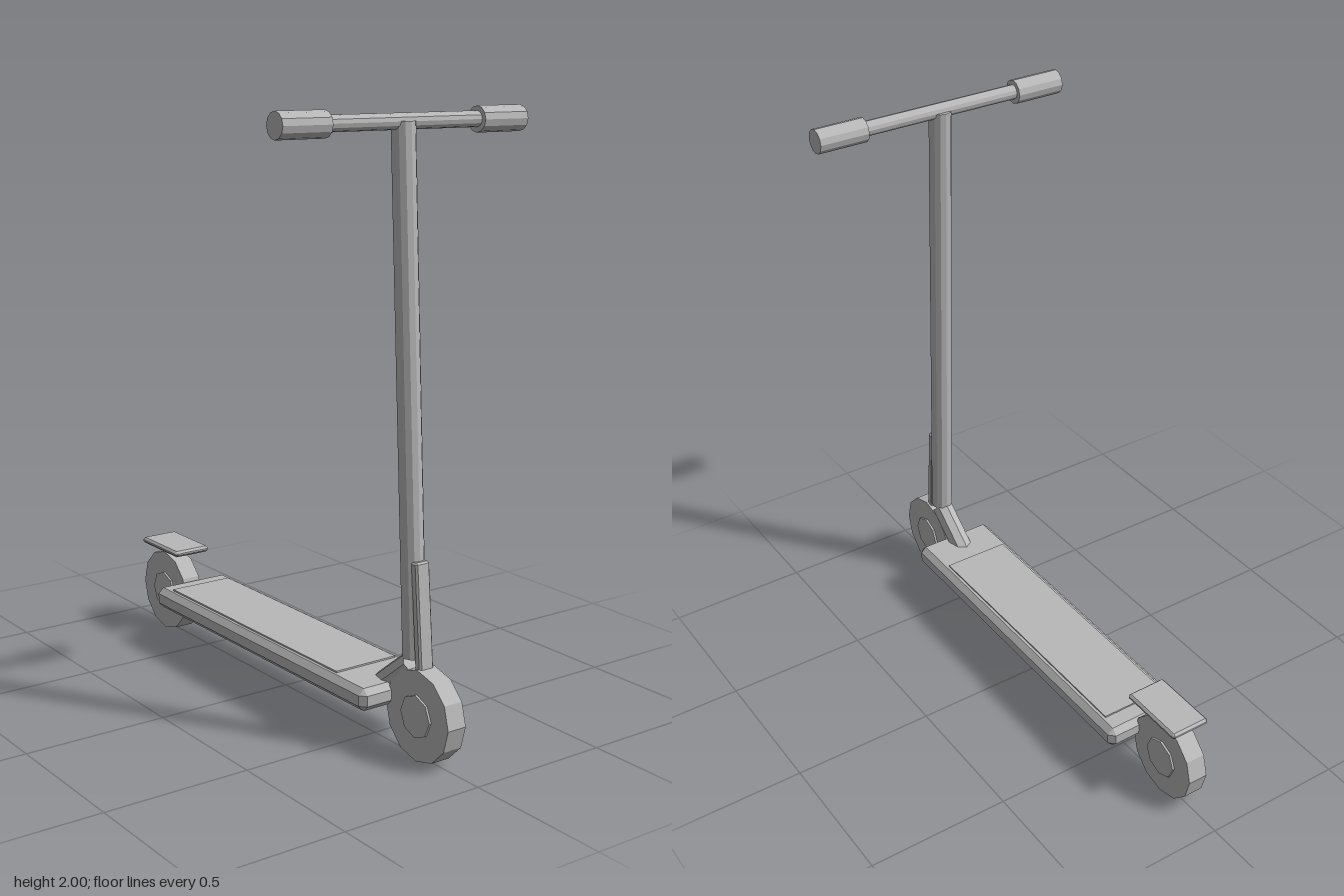
import * as THREE from 'three';
import { ConvexGeometry } from 'three/addons/geometries/ConvexGeometry.js';

const grey = new THREE.MeshStandardMaterial({ color: 0xb8b8b8, flatShading: true });
grey.name = 'grey';

export function createModel() {
  const model = new THREE.Group();
  model.name = 'kickScooter';

  function add(name, geometry, x = 0, y = 0, z = 0) {
    const mesh = new THREE.Mesh(geometry, grey);
    mesh.name = name;
    mesh.position.set(x, y, z);
    model.add(mesh);
    return mesh;
  }

  // Box with every edge chamfered by c
  function chamferBox(w, h, d, c) {
    const half = [w / 2, h / 2, d / 2];
    const points = [];
    for (const sx of [-1, 1]) for (const sy of [-1, 1]) for (const sz of [-1, 1]) {
      for (let outer = 0; outer < 3; outer++) {
        const [x, y, z] = half.map((v, i) => (i === outer ? v : v - c));
        points.push(new THREE.Vector3(sx * x, sy * y, sz * z));
      }
    }
    return new ConvexGeometry(points);
  }

  // Cylinder lying along z
  const axle = (r, length, sides) =>
    new THREE.CylinderGeometry(r, r, length, sides).rotateX(Math.PI / 2);

  // Tube between two points in the x-y plane
  function tube(name, r, sides, a, b) {
    const from = new THREE.Vector3(...a, 0), to = new THREE.Vector3(...b, 0);
    const dir = to.clone().sub(from);
    const mesh = add(name, new THREE.CylinderGeometry(r, r, dir.length(), sides));
    mesh.position.copy(from).add(to).multiplyScalar(0.5);
    mesh.quaternion.setFromUnitVectors(new THREE.Vector3(0, 1, 0), dir.normalize());
  }

  // Wheels with raised hubs
  for (const [side, x] of [['rear', -0.75], ['front', 0.75]]) {
    add(side + 'Wheel', axle(0.15, 0.07, 12), x, 0.15);
    add(side + 'Hub', axle(0.07, 0.085, 8), x, 0.15);
  }

  // Deck, grip pad and rear mudguard
  add('deck', chamferBox(1.25, 0.075, 0.3, 0.02), 0, 0.178);
  add('gripPad', new THREE.BoxGeometry(1, 0.009, 0.24), -0.05, 0.2165);
  add('mudguard', chamferBox(0.245, 0.022, 0.145, 0.008), -0.728, 0.329);

  // Neck, steering column and front fork plate
  tube('neck', 0.04, 8, [0.53, 0.175], [0.69, 0.303]);
  tube('steeringColumn', 0.038, 12, [0.693, 0.32], [0.6, 1.96]);
  const fork = add('forkPlate', chamferBox(0.03, 0.44, 0.055, 0.006), 0.731, 0.415);
  fork.rotation.z = 0.085;

  // Handlebar and grips
  add('handlebar', axle(0.025, 0.62, 12), 0.6, 1.96);
  for (const s of [-1, 1]) {
    add(s > 0 ? 'leftGrip' : 'rightGrip', axle(0.041, 0.175, 12), 0.6, 1.959, s * 0.375);
  }
  return model;
}
